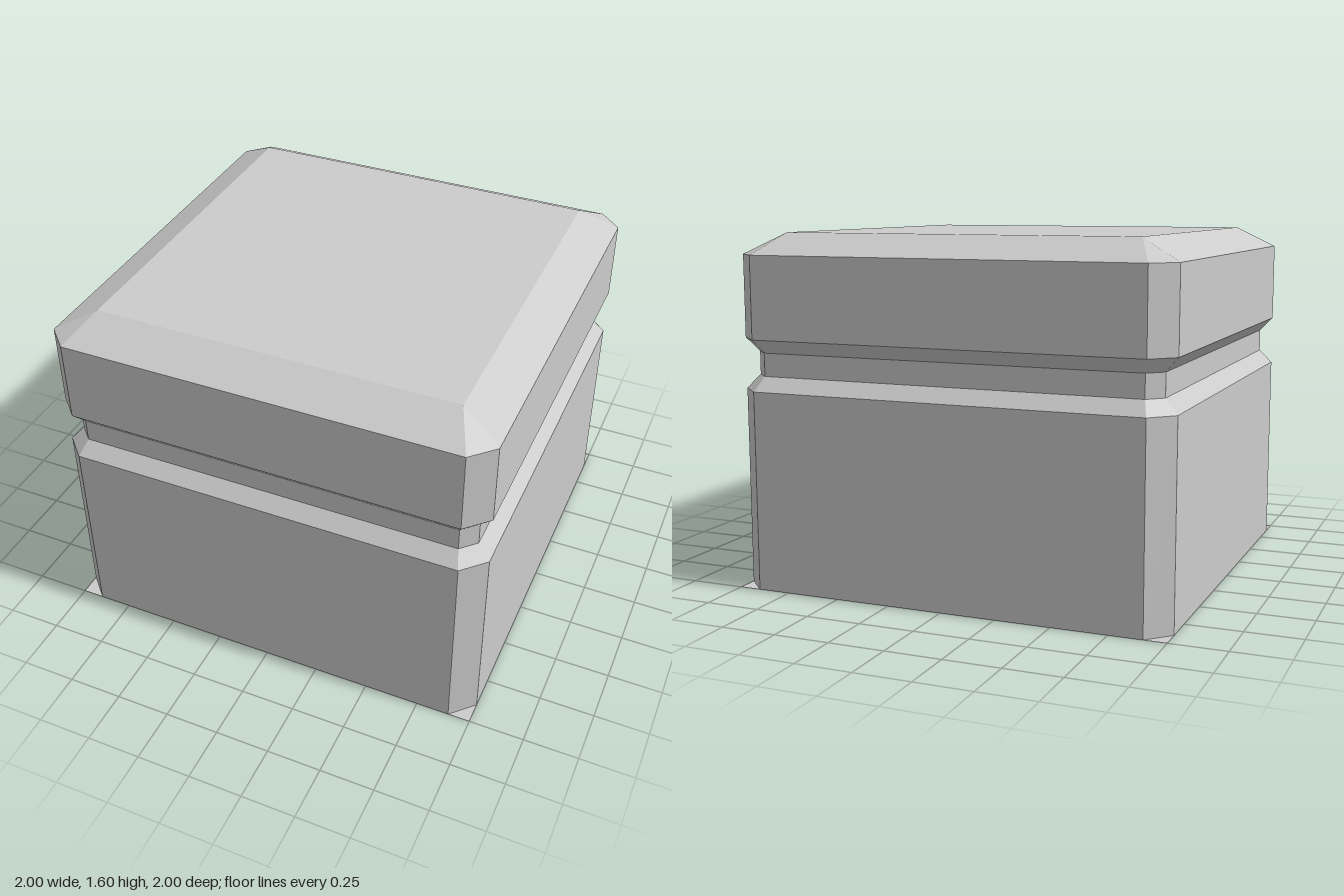
import * as THREE from 'three';

// Square outline of half-width r with corners cut by c, counter-clockwise from above
function outline(y, r, c) {
  const k = r - c;
  return [[-k, r], [k, r], [r, k], [r, -k], [k, -r], [-k, -r], [-r, -k], [-r, k]]
    .map(([x, z]) => new THREE.Vector3(x, y, z));
}

// Flat-shaded geometry from a list of triangles, leaving out collapsed ones
function fromTriangles(triangles) {
  const points = triangles.filter((t) => new THREE.Triangle(...t).getArea() > 1e-6).flat();
  const geometry = new THREE.BufferGeometry().setFromPoints(points);
  geometry.computeVertexNormals();
  return geometry;
}

// Walls joining a stack of outlines
function loft(rings) {
  const triangles = [];
  for (let j = 0; j < rings.length - 1; j++) {
    const lower = rings[j], upper = rings[j + 1];
    for (let i = 0; i < 8; i++) {
      const n = (i + 1) % 8;
      triangles.push([lower[i], lower[n], upper[n]], [lower[i], upper[n], upper[i]]);
    }
  }
  return fromTriangles(triangles);
}

export function createModel() {
  const model = new THREE.Group();
  const grey = new THREE.MeshStandardMaterial({ color: 0xcccccc, side: THREE.DoubleSide });
  grey.name = 'light grey';

  const add = (name, geometry) => {
    const mesh = new THREE.Mesh(geometry, grey);
    mesh.name = name;
    model.add(mesh);
  };

  // Hollow body, open underneath
  const foot = outline(0, 1, 0.1);
  const shoulder = outline(0.9, 1, 0.1);
  const grooveLow = outline(0.963, 0.942, 0.065);
  const grooveHigh = outline(1.067, 0.942, 0.065);
  const lip = outline(1.13, 1, 0.1);
  const rim = outline(1.5, 1, 0.1);
  const crown = outline(1.595, 0.82, 0);

  add('lowerBody', loft([foot, shoulder]));
  add('groove', loft([shoulder, grooveLow, grooveHigh, lip]));
  add('upperBody', loft([lip, rim]));
  add('topBevel', loft([rim, crown]));

  // Flat square top
  const [a, , b, , c, , d] = crown;
  add('top', fromTriangles([[a, b, c], [a, c, d]]));

  // Small flat triangles filling the cut corners at ground level
  const corners = [1, 3, 5, 7].map((i) => {
    const p = foot[i], q = foot[(i + 1) % 8];
    const tip = new THREE.Vector3(Math.sign(p.x), 0, Math.sign(p.z));
    return [p, tip, q];
  });
  add('cornerFeet', fromTriangles(corners));

  return model;
}
